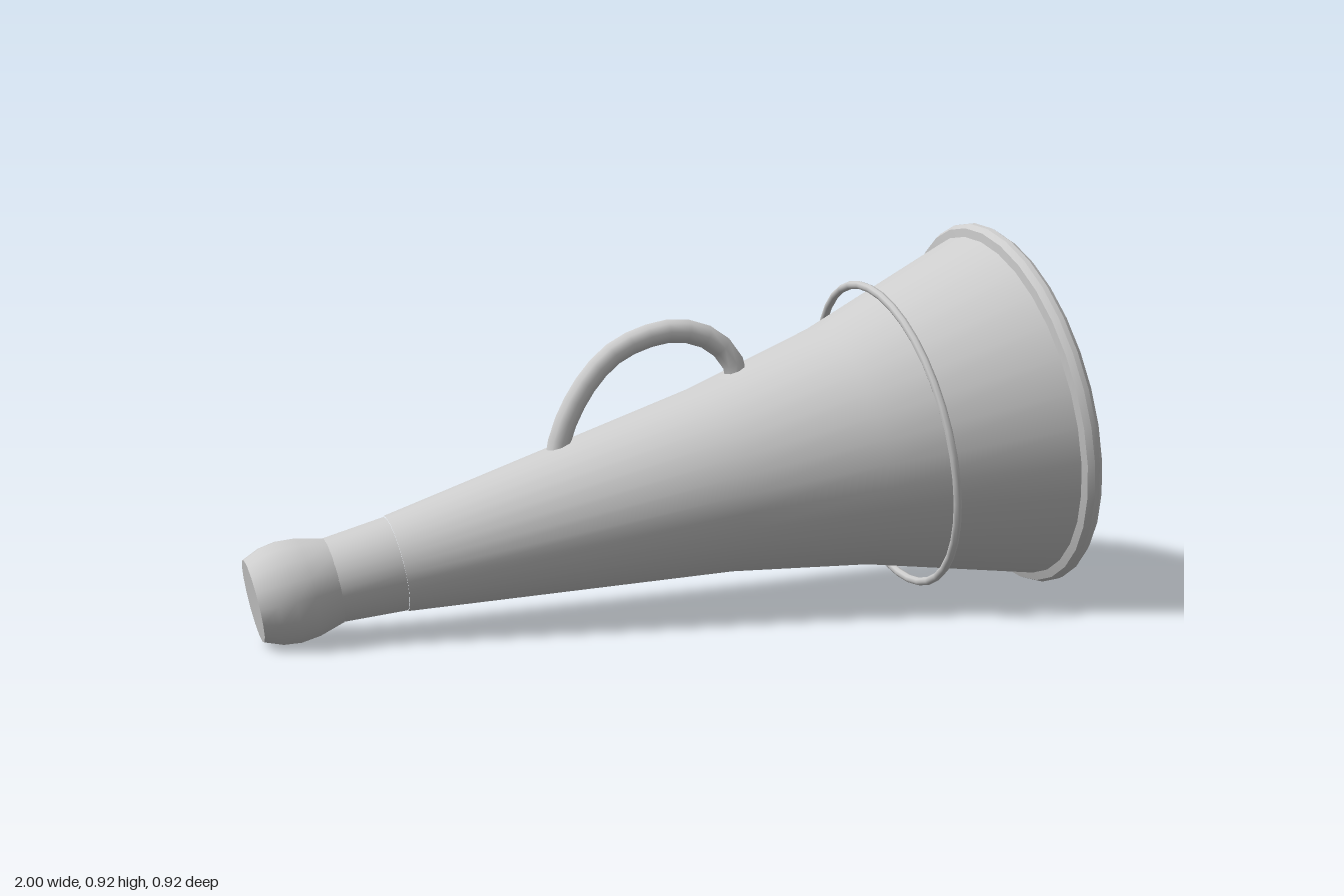
import * as THREE from 'three';
import { toCreasedNormals } from 'three/addons/utils/BufferGeometryUtils.js';

export function createModel() {
  const model = new THREE.Group();
  model.name = 'megaphone';
  const metal = new THREE.MeshStandardMaterial({ color: 0xcccccc });
  metal.name = 'light grey';

  // Tilted axis: local y runs from the mouthpiece to the bell
  const horn = new THREE.Group();
  horn.name = 'horn';
  horn.position.set(-0.98, 0.105, 0);
  horn.rotation.z = -Math.atan2(0.981, 0.193);
  model.add(horn);

  const add = (parent, name, geometry) => {
    const mesh = new THREE.Mesh(geometry, metal);
    mesh.name = name;
    parent.add(mesh);
    return mesh;
  };
  // Profile points are [radius, distance along the axis]
  const turned = (name, profile, sides) => add(horn, name, toCreasedNormals(
    new THREE.LatheGeometry(profile.map(([r, s]) => new THREE.Vector2(r, s)), sides), 0.55));

  turned('mouthpiece', [[0, 0], [0.097, 0], [0.114, 0.04], [0.12, 0.08], [0.116, 0.125], [0.1, 0.185]], 16);
  turned('neck', [[0.098, 0.18], [0.111, 0.333]], 32);
  turned('cone', [[0.113, 0.333], [0.226, 1.12], [0.298, 1.46], [0.436, 1.9]], 32);
  // Inner wall, closed by a disc at its narrow end
  turned('innerWall', [[0.422, 1.91], [0.29, 1.46], [0.218, 1.12], [0.116, 0.6]], 32);
  turned('innerDisc', [[0.118, 0.6], [0, 0.6]], 16);
  turned('bellRim', [[0.43, 1.885], [0.452, 1.89], [0.46, 1.905], [0.459, 1.918],
    [0.449, 1.93], [0.43, 1.93], [0.42, 1.92], [0.42, 1.9]], 32);

  // Thin loose ring around the bell
  const ring = add(horn, 'ring', new THREE.TorusGeometry(0.376, 0.01, 8, 40));
  ring.rotation.x = Math.PI / 2;
  ring.position.y = 1.588;

  // Arched carrying handle, its ends sunk through the cone
  const path = new THREE.CatmullRomCurve3([
    [-0.267, 0.385], [-0.25, 0.46], [-0.19, 0.57], [-0.11, 0.645], [0.02, 0.685],
    [0.11, 0.667], [0.16, 0.628], [0.184, 0.585], [0.188, 0.555],
  ].map(([x, y]) => new THREE.Vector3(x, y, 0)));
  add(model, 'handle', new THREE.TubeGeometry(path, 14, 0.028, 8, false));

  return model;
}
